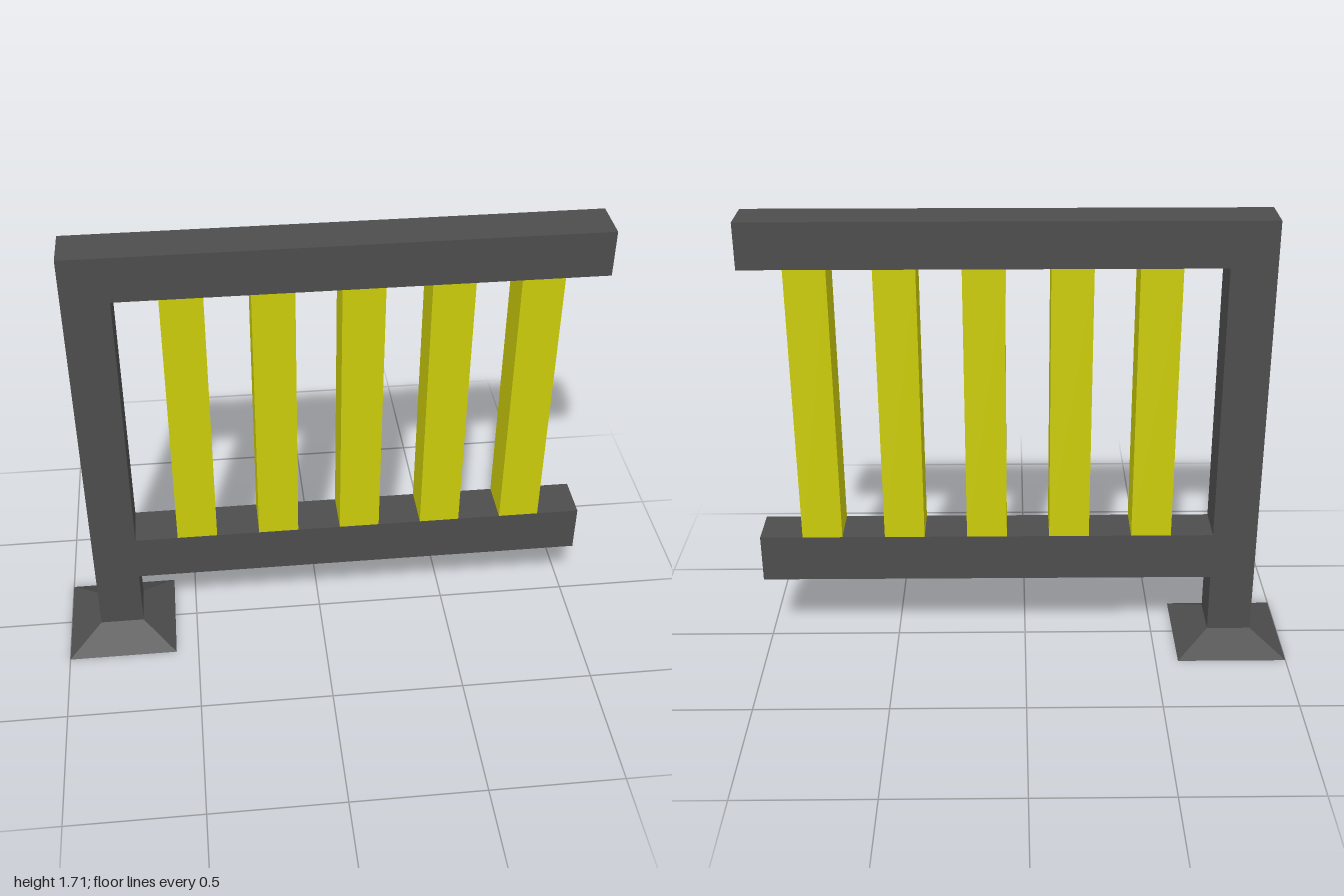
import * as THREE from 'three';

export function createModel() {
  const model = new THREE.Group();
  model.name = 'railing';
  const gray = new THREE.MeshStandardMaterial({ color: 0x4d4d4d });
  gray.name = 'dark gray';
  const yellow = new THREE.MeshStandardMaterial({ color: 0xcccc0c });
  yellow.name = 'yellow';

  const half = 0.083; // half depth shared by post, rails and bars
  const postX = -0.793;
  const top = 1.708;

  // Box given by its x and y limits, spanning the shared depth
  function beam(name, material, x0, x1, y0, y1) {
    const mesh = new THREE.Mesh(new THREE.BoxGeometry(x1 - x0, y1 - y0, half * 2), material);
    mesh.position.set((x0 + x1) / 2, (y0 + y1) / 2, 0);
    mesh.name = name;
    model.add(mesh);
  }

  // Flared square foot
  const footHeight = 0.068;
  const footGeometry = new THREE.CylinderGeometry(half * Math.SQRT2, 0.207 * Math.SQRT2, footHeight, 4)
    .rotateY(Math.PI / 4)
    .toNonIndexed();
  footGeometry.computeVertexNormals();
  const foot = new THREE.Mesh(footGeometry, gray);
  foot.position.set(postX, footHeight / 2, 0);
  foot.name = 'foot';
  model.add(foot);

  // Post and the two rails running from it
  beam('post', gray, postX - half, postX + half, footHeight, top);
  beam('topRail', gray, postX + half, 1, 1.538, top);
  beam('bottomRail', gray, postX + half, 1, 0.3, 0.483);

  // Five upright bars between the rails
  for (let i = 0; i < 5; i++) {
    const x = -0.475 + i * 0.31;
    beam(`bar${i + 1}`, yellow, x - 0.075, x + 0.075, 0.483, 1.538);
  }
  return model;
}
